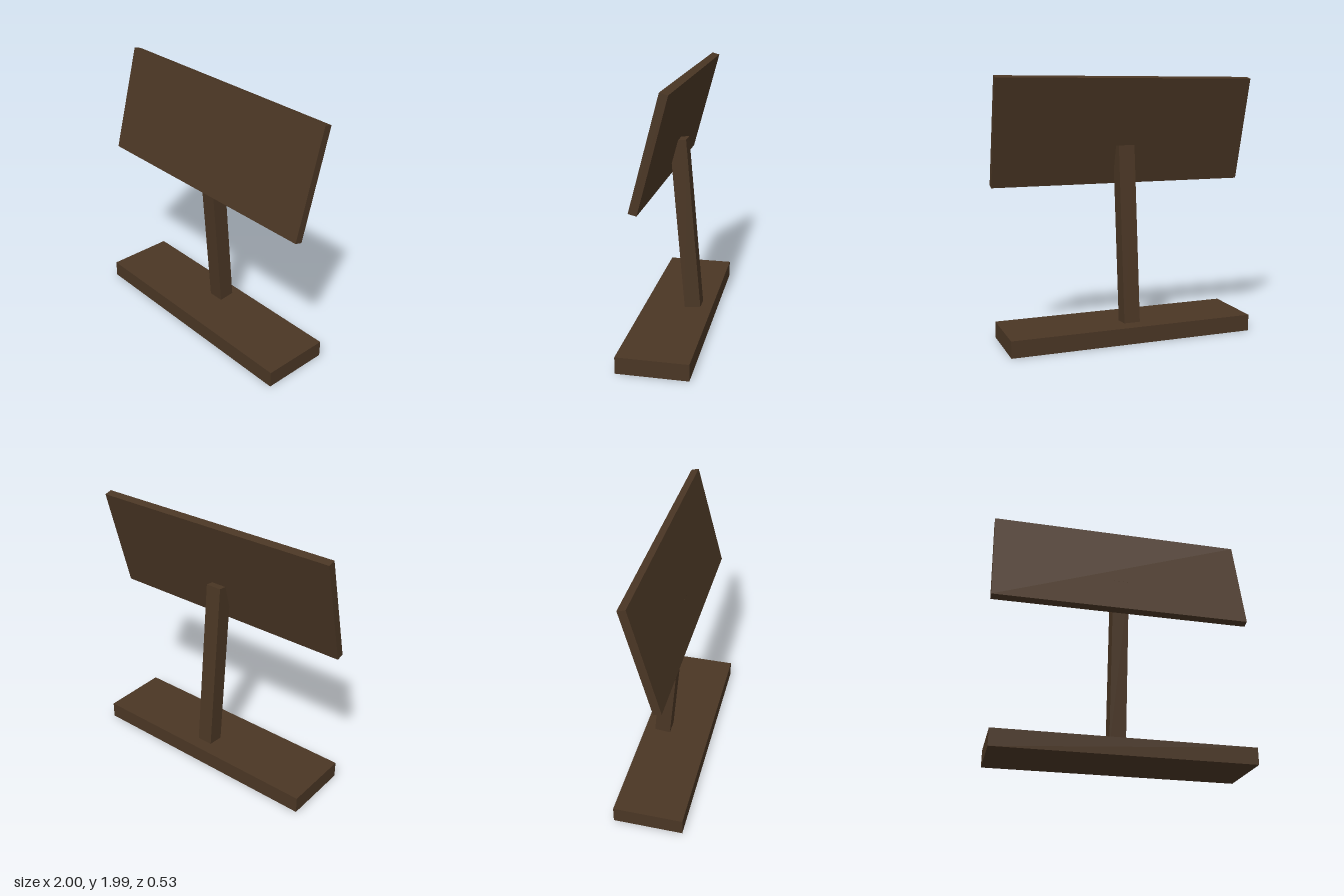
import * as THREE from 'three';

export function createModel() {
  const model = new THREE.Group();
  model.name = 'signpost';
  const darkWood = new THREE.MeshStandardMaterial({ color: 0x4a3624 });
  darkWood.name = 'dark wood';

  // Adds a box with its centre at (0, y, z), tilted about x
  function addBox(name, size, y, z, tiltDegrees = 0) {
    const mesh = new THREE.Mesh(new THREE.BoxGeometry(...size), darkWood);
    mesh.name = name;
    mesh.position.set(0, y, z);
    mesh.rotation.x = THREE.MathUtils.degToRad(tiltDegrees);
    model.add(mesh);
  }

  // Flat foot on the ground
  addBox('base', [1.91, 0.127, 0.53], 0.0635, 0);
  // Post leaning slightly forward, its top ending inside the board
  addBox('post', [0.125, 1.343, 0.125], 0.804, -0.058, 5);
  // Board leaning back
  addBox('board', [2, 0.82, 0.06], 1.585, 0, -15);

  return model;
}
